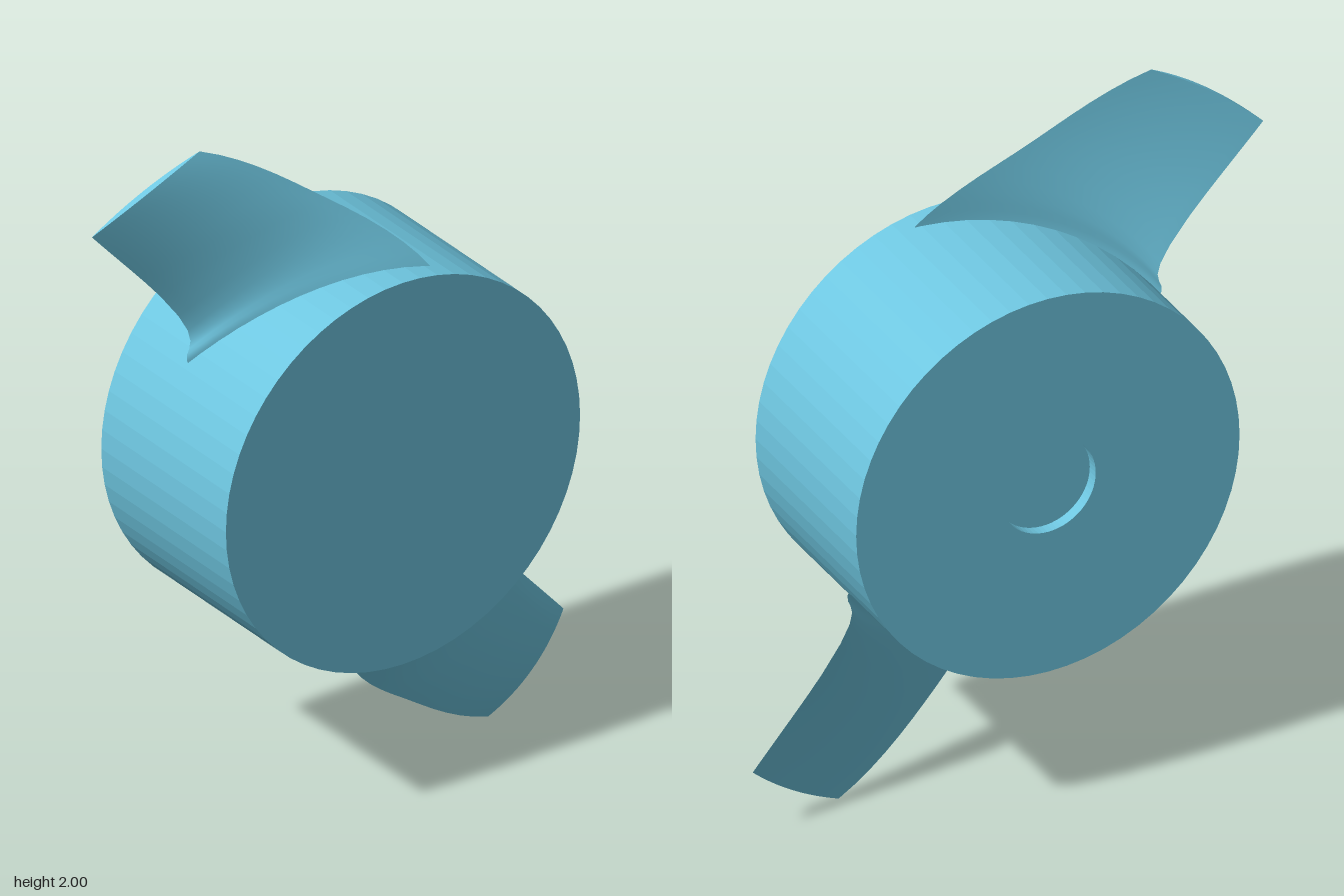
import * as THREE from 'three';
import { toCreasedNormals } from 'three/addons/utils/BufferGeometryUtils.js';

const material = new THREE.MeshStandardMaterial({ color: 0x6ec6e0 });
const hubMaterial = new THREE.MeshStandardMaterial({ color: 0x6ec6e0, flatShading: true });
const { lerp } = THREE.MathUtils;

// Edge curve through [radius, angle from +y towards +z in degrees, x]
function edgeCurve(points) {
  return new THREE.CatmullRomCurve3(points.map(([r, a, x]) => new THREE.Vector3(r, a, x)));
}

// Twisted blade: sections flat on the -x side, bulged on the +x side, sharp at both edges
function bladeGeometry() {
  const lead = edgeCurve([[0.53, 57, -0.035], [0.577, 54.5, -0.04], [0.83, 44.5, -0.05], [1.108, 43.9, -0.06]]);
  const trail = edgeCurve([[0.53, -18, 0.25], [0.577, -13, 0.23], [0.82, 10, 0.105], [1.105, 25.2, 0.015]]);
  const rows = 20, cols = 16, ring = cols * 2;
  const positions = [], index = [];

  for (let j = 0; j <= rows; j++) {
    const t = j / rows;
    const a = lead.getPoint(t), b = trail.getPoint(t);
    const bulge = lerp(0.045, 0.02, t);
    for (let i = 0; i < ring; i++) {
      const u = i <= cols ? i / cols : (ring - i) / cols;
      const p = a.clone().lerp(b, u);
      const angle = THREE.MathUtils.degToRad(p.y);
      const x = p.z + (i < cols ? bulge * 4 * u * (1 - u) : 0);
      positions.push(x, p.x * Math.cos(angle), p.x * Math.sin(angle));
    }
  }
  for (let j = 0; j < rows; j++) {
    for (let i = 0; i < ring; i++) {
      const p = j * ring + i, q = j * ring + (i + 1) % ring;
      index.push(p, q, p + ring, q, q + ring, p + ring);
    }
  }
  // Tip cap
  const tip = rows * ring;
  for (let k = 0; k < cols; k++) {
    const b0 = tip + k, b1 = tip + k + 1;
    const f0 = tip + (ring - k) % ring, f1 = tip + ring - k - 1;
    if (k > 0) index.push(f0, b0, f1);
    if (k < cols - 1) index.push(b0, b1, f1);
  }
  const geometry = new THREE.BufferGeometry();
  geometry.setAttribute('position', new THREE.Float32BufferAttribute(positions, 3));
  geometry.setIndex(index);
  return toCreasedNormals(geometry, 0.6);
}

export function createModel() {
  const model = new THREE.Group();
  model.name = 'propeller';

  // Hub lying along x, with a shallow shaft socket in its -x face
  const profile = [[0, -0.255], [0.144, -0.255], [0.144, -0.289], [0.577, -0.289], [0.577, 0.289], [0, 0.289]]
    .map(([r, y]) => new THREE.Vector2(r, y));
  const hub = new THREE.Mesh(new THREE.LatheGeometry(profile, 64), hubMaterial);
  hub.name = 'hub';
  hub.rotation.z = -Math.PI / 2;
  hub.position.y = 1;
  model.add(hub);

  // Two opposite blades
  const geometry = bladeGeometry();
  ['upperBlade', 'lowerBlade'].forEach((name, i) => {
    const blade = new THREE.Mesh(geometry, material);
    blade.name = name;
    blade.rotation.x = i * Math.PI;
    blade.position.y = 1;
    model.add(blade);
  });
  return model;
}
